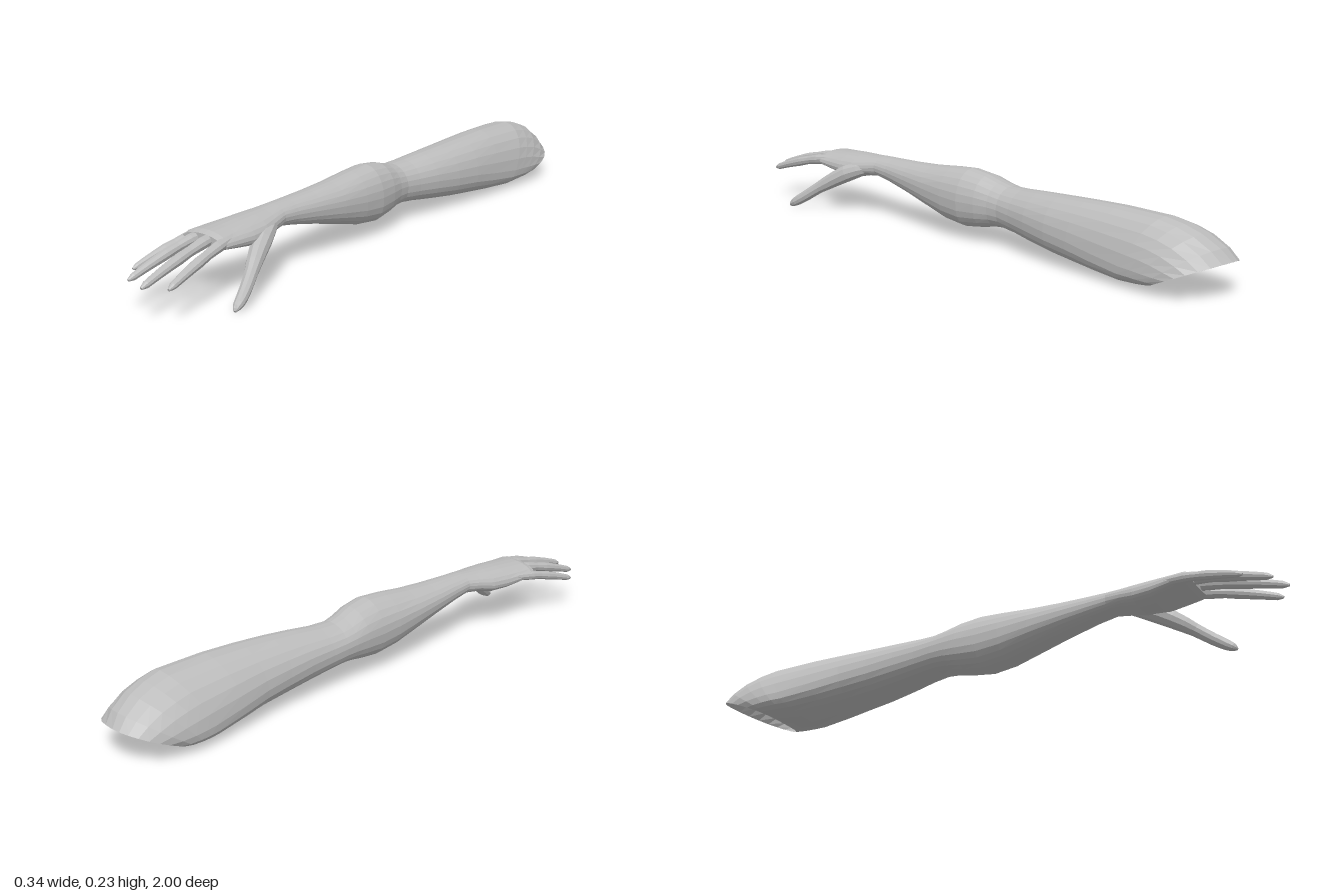
import * as THREE from 'three';

const SIDES = 24;

// Skin a list of equal-length rings; the ends may be closed with a fan.
function loft(rings, capStart, capEnd, material, name) {
  const n = rings[0].length;
  const pos = [];
  const idx = [];
  rings.forEach(r => r.forEach(p => pos.push(p.x, p.y, p.z)));
  for (let i = 0; i < rings.length - 1; i++) {
    for (let j = 0; j < n; j++) {
      const k = (j + 1) % n;
      const a = i * n + j, b = i * n + k, c = a + n, d = b + n;
      idx.push(a, b, c, b, d, c);
    }
  }
  const cap = (i, flip) => {
    const c = new THREE.Vector3();
    rings[i].forEach(p => c.addScaledVector(p, 1 / n));
    const m = pos.length / 3;
    pos.push(c.x, c.y, c.z);
    for (let j = 0; j < n; j++) {
      const a = i * n + j, b = i * n + (j + 1) % n;
      if (flip) idx.push(m, b, a); else idx.push(m, a, b);
    }
  };
  if (capStart) cap(0, true);
  if (capEnd) cap(rings.length - 1, false);
  const geo = new THREE.BufferGeometry();
  geo.setAttribute('position', new THREE.Float32BufferAttribute(pos, 3));
  geo.setIndex(idx);
  geo.computeVertexNormals();
  const mesh = new THREE.Mesh(geo, material);
  mesh.name = name;
  return mesh;
}

// Limb section: z, left edge, ridge, right edge, underside, widest height, top,
// backward slant of the section, squareness of the underside
function section([z, xl, cx, xr, yb, ym, yt, slant = 0, power = 0.8]) {
  const ring = [];
  for (let j = 0; j < SIDES; j++) {
    const a = (j / SIDES) * Math.PI * 2;
    const c = Math.cos(a), s = Math.sin(a);
    const e = s < 0 ? power : 1;
    const cc = Math.sign(c) * Math.pow(Math.abs(c), e);
    const ss = Math.sign(s) * Math.pow(Math.abs(s), e);
    const x = cx + cc * (c > 0 ? xr - cx : cx - xl);
    const y = ym + ss * (s > 0 ? yt - ym : ym - yb);
    ring.push(new THREE.Vector3(x, y, z + slant * (y - ym)));
  }
  return ring;
}

// Round tapered digit along points [x, y, z, radius]
function digit(points, material, name) {
  const curve = new THREE.CatmullRomCurve3(points.map(p => new THREE.Vector3(p[0], p[1], p[2])));
  const steps = 12, n = 10, rings = [];
  const up = new THREE.Vector3(0, 1, 0);
  for (let i = 0; i <= steps; i++) {
    const t = i / steps;
    const f = t * (points.length - 1);
    const k = Math.min(Math.floor(f), points.length - 2);
    const r = THREE.MathUtils.lerp(points[k][3], points[k + 1][3], f - k);
    const p = curve.getPoint(t), d = curve.getTangent(t);
    const u = new THREE.Vector3().crossVectors(up, d).normalize();
    const v = new THREE.Vector3().crossVectors(d, u);
    const ring = [];
    for (let j = 0; j < n; j++) {
      const a = (j / n) * Math.PI * 2;
      ring.push(p.clone().addScaledVector(u, Math.cos(a) * r).addScaledVector(v, Math.sin(a) * r));
    }
    rings.push(ring);
  }
  return loft(rings, true, true, material, name);
}

export function createModel() {
  const group = new THREE.Group();
  group.name = 'arm';
  const skin = new THREE.MeshStandardMaterial({ color: 0xbcbcbc, flatShading: true, side: THREE.DoubleSide });
  skin.name = 'grey skin';

  // Upper arm with slanted open shoulder end
  const upper = [
    [-0.885, -0.165, -0.06, 0.092, 0.017, 0.06, 0.11, -2.3, 0.7],
    [-0.845, -0.173, -0.045, 0.095, 0.014, 0.062, 0.145, -1.5, 0.7],
    [-0.80, -0.175, -0.03, 0.096, 0.012, 0.065, 0.18, -1.0, 0.7],
    [-0.76, -0.173, -0.02, 0.096, 0.011, 0.068, 0.2, -0.75, 0.7],
    [-0.72, -0.167, -0.01, 0.096, 0.011, 0.07, 0.213, -0.55, 0.7],
    [-0.60, -0.148, -0.005, 0.091, 0.018, 0.085, 0.217, -0.25, 0.75],
    [-0.50, -0.132, -0.005, 0.087, 0.026, 0.1, 0.214, -0.1],
    [-0.40, -0.121, -0.008, 0.08, 0.035, 0.11, 0.209],
    [-0.30, -0.113, -0.015, 0.067, 0.047, 0.12, 0.203],
    [-0.22, -0.109, -0.022, 0.053, 0.058, 0.125, 0.197],
    [-0.16, -0.108, -0.022, 0.046, 0.064, 0.13, 0.196],
  ];
  // Elbow and forearm down to the wrist
  const lower = [
    [-0.12, -0.107, -0.018, 0.05, 0.062, 0.133, 0.205],
    [-0.07, -0.105, -0.01, 0.062, 0.053, 0.135, 0.222],
    [0.0, -0.1, -0.003, 0.072, 0.045, 0.135, 0.233],
    [0.08, -0.094, 0, 0.072, 0.055, 0.14, 0.228],
    [0.18, -0.084, 0, 0.067, 0.082, 0.15, 0.218],
    [0.28, -0.072, 0, 0.059, 0.108, 0.16, 0.213],
    [0.38, -0.059, 0, 0.052, 0.131, 0.17, 0.211],
    [0.44, -0.053, 0, 0.052, 0.142, 0.175, 0.21],
  ];
  // Palm up to the knuckles
  const palm = [
    [0.49, -0.064, 0, 0.064, 0.138, 0.168, 0.207],
    [0.54, -0.077, 0, 0.077, 0.127, 0.158, 0.206],
    [0.60, -0.084, 0, 0.081, 0.127, 0.156, 0.204],
    [0.66, -0.09, 0, 0.079, 0.136, 0.159, 0.2],
    [0.71, -0.093, 0, 0.078, 0.145, 0.162, 0.197],
    [0.73, -0.085, 0, 0.07, 0.152, 0.165, 0.19],
  ];
  group.add(loft([...upper, lower[0]].map(section), false, false, skin, 'upperArm'));
  group.add(loft([...lower, palm[0]].map(section), false, false, skin, 'forearm'));
  group.add(loft(palm.map(section), false, true, skin, 'palm'));

  // Fingers: base and tip positions, curling downward toward the tip
  const fingers = {
    littleFinger: [[-0.074, 0.164, 0.65], [-0.107, 0.108, 0.903], 0.9],
    ringFinger: [[-0.032, 0.178, 0.66], [-0.049, 0.108, 0.973], 1],
    middleFinger: [[0.01, 0.18, 0.66], [0.028, 0.109, 0.996], 1.04],
    indexFinger: [[0.05, 0.174, 0.66], [0.092, 0.108, 0.955], 1],
  };
  const along = [0, 0.27, 0.42, 0.56, 0.78, 0.94, 1];
  const radii = [0.015, 0.0175, 0.015, 0.0165, 0.0135, 0.011, 0.004];
  for (const [name, [base, tip, scale]] of Object.entries(fingers)) {
    const pts = along.map((t, i) => [
      THREE.MathUtils.lerp(base[0], tip[0], Math.pow(t, 0.85)),
      THREE.MathUtils.lerp(base[1], tip[1], Math.pow(t, 1.5)),
      THREE.MathUtils.lerp(base[2], tip[2], t),
      radii[i] * scale,
    ]);
    group.add(digit(pts, skin, name));
  }

  // Thumb, flaring into the side of the palm
  group.add(digit([
    [0.035, 0.168, 0.48, 0.02],
    [0.064, 0.147, 0.55, 0.031],
    [0.094, 0.112, 0.615, 0.027],
    [0.12, 0.08, 0.665, 0.02],
    [0.138, 0.052, 0.705, 0.019],
    [0.153, 0.027, 0.745, 0.017],
    [0.158, 0.015, 0.766, 0.012],
    [0.161, 0.008, 0.775, 0.004],
  ], skin, 'thumb'));

  return group;
}
